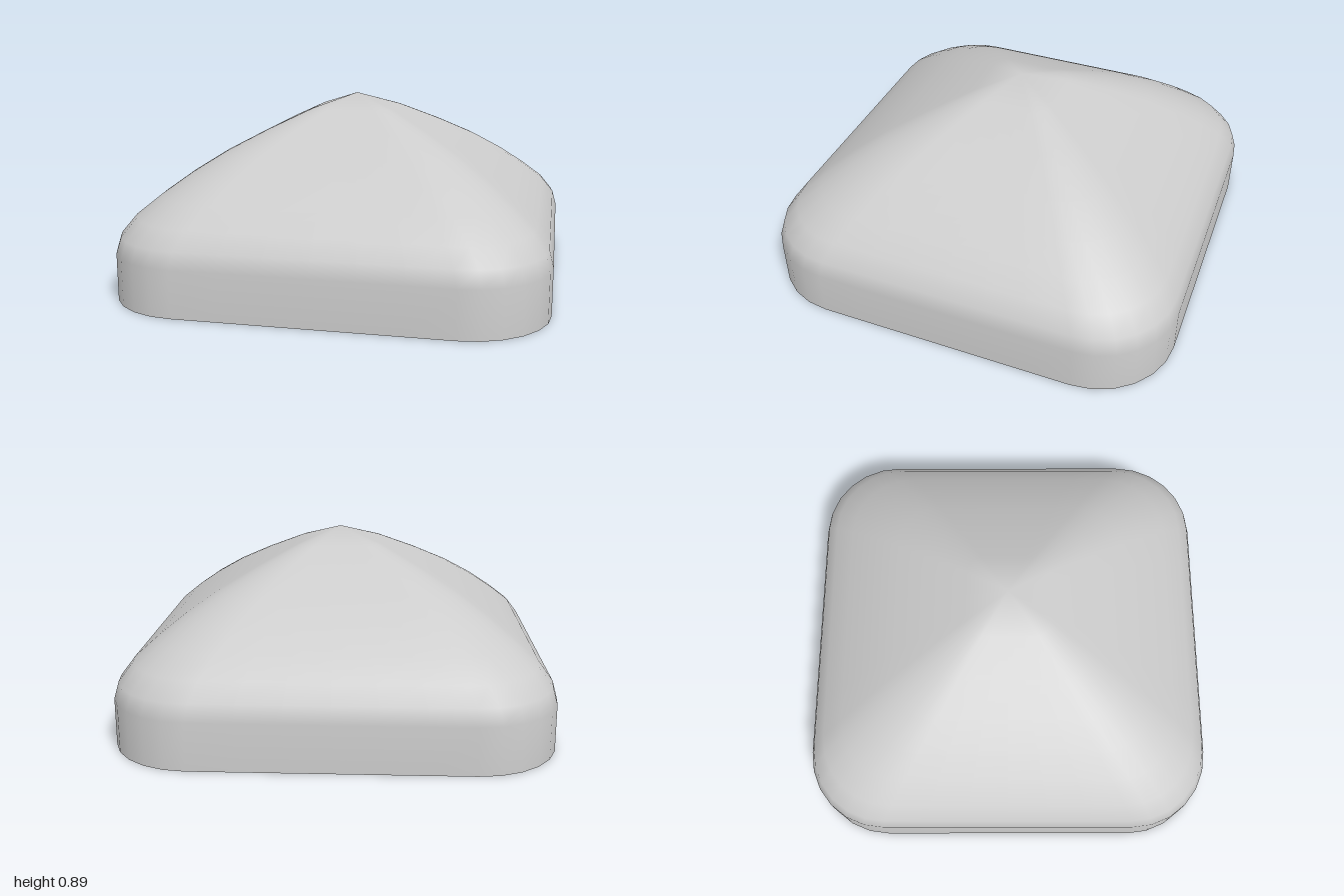
import * as THREE from 'three';

const CORNER = 0.38; // corner radius of the footprint
const ARC = 6;       // segments per rounded corner
const SIDE = 6;      // segments per straight side

// Rounded square of half-width 1, as [x, z] points running from +x towards +z
function footprint() {
  const points = [];
  const c = 1 - CORNER;
  for (let q = 0; q < 4; q++) {
    const cos = Math.round(Math.cos(q * Math.PI / 2));
    const sin = Math.round(Math.sin(q * Math.PI / 2));
    const add = (x, z) => points.push([x * cos - z * sin, x * sin + z * cos]);
    for (let i = 0; i < SIDE; i++) add(1, -c + 2 * c * i / SIDE);
    for (let i = 0; i < ARC; i++) {
      const a = i / ARC * Math.PI / 2;
      add(c + CORNER * Math.cos(a), c + CORNER * Math.sin(a));
    }
  }
  return points;
}

// Open shell: the footprint scaled along a [scale, height] profile up to one apex
function shellGeometry(profile, apexHeight) {
  const outline = footprint();
  const n = outline.length;
  const positions = [];
  const index = [];
  for (const [s, y] of profile) {
    for (const [x, z] of outline) positions.push(x * s, y, z * s);
  }
  positions.push(0, apexHeight, 0);
  const apex = profile.length * n;
  for (let r = 0; r < profile.length; r++) {
    for (let i = 0; i < n; i++) {
      const a = r * n + i;
      const b = r * n + (i + 1) % n;
      if (r === profile.length - 1) index.push(a, apex, b);
      else index.push(a, a + n, b, b, a + n, b + n);
    }
  }
  const geometry = new THREE.BufferGeometry();
  geometry.setAttribute('position', new THREE.Float32BufferAttribute(positions, 3));
  geometry.setIndex(index);
  geometry.computeVertexNormals();
  return geometry;
}

export function createModel() {
  const group = new THREE.Group();
  group.name = 'pyramidCap';
  const grey = new THREE.MeshStandardMaterial({ color: 0xcccccc, side: THREE.DoubleSide });
  grey.name = 'light grey';

  // Upright skirt, rounded shoulder, then a gently bowed pyramid roof
  const profile = [
    [1, 0], [1, 0.22], [0.98, 0.295], [0.92, 0.375], [0.82, 0.46],
    [0.7, 0.55], [0.56, 0.64], [0.39, 0.73], [0.2, 0.82],
  ];
  const shell = new THREE.Mesh(shellGeometry(profile, 0.89), grey);
  shell.name = 'capShell';
  group.add(shell);
  return group;
}
